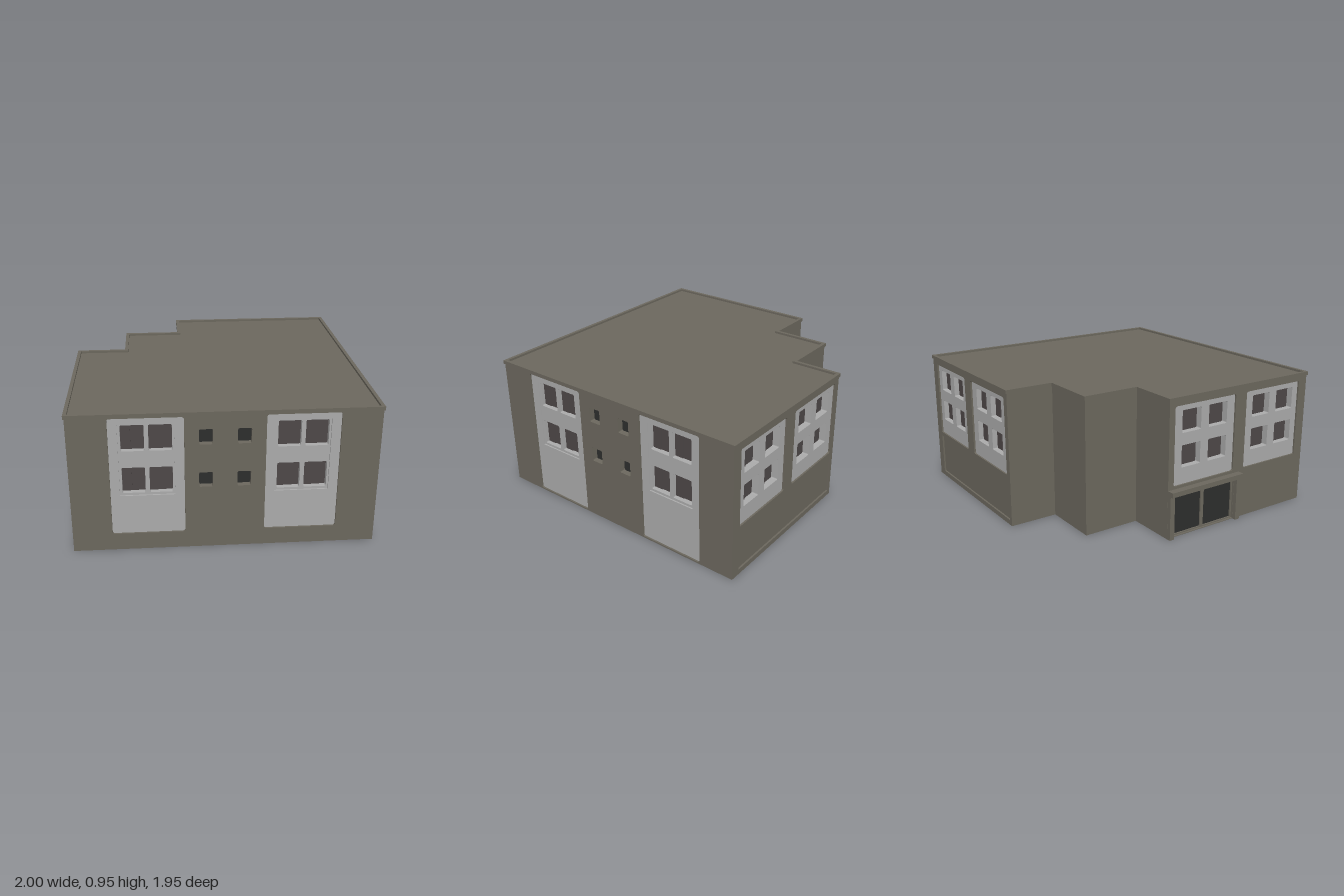
import * as THREE from 'three';

const mat = (name, color, side = THREE.FrontSide) => {
  const m = new THREE.MeshStandardMaterial({ color, side });
  m.name = name;
  return m;
};

// Footprint limits (stepped back-right corner) and facade thickness
const XL = -0.952, XR = 0.993, ZF = 0.969, ZB = -0.969;
const S1 = -0.21, S2 = -0.634, S3 = -0.61, S4 = -0.235;
const T = 0.07, H = 0.932;

const polygon = (pts, Type = THREE.Shape) => new Type(pts.map(([x, z]) => new THREE.Vector2(x, -z)));

// Footprint pushed outward by o
const footprint = (o, Type) => polygon([
  [XL - o, ZF + o], [XR + o, ZF + o], [XR + o, ZB - o], [S1 - o, ZB - o],
  [S1 - o, S2 - o], [S3 - o, S2 - o], [S3 - o, S4 - o], [XL - o, S4 - o],
], Type);

// Rectangle [x0, y0, x1, y1] with optional rounded corners
function rect([x0, y0, x1, y1], r = 0, Type = THREE.Shape) {
  const s = new Type();
  if (!r) {
    s.moveTo(x0, y0); s.lineTo(x1, y0); s.lineTo(x1, y1); s.lineTo(x0, y1); s.closePath();
    return s;
  }
  s.absarc(x1 - r, y0 + r, r, -Math.PI / 2, 0);
  s.absarc(x1 - r, y1 - r, r, 0, Math.PI / 2);
  s.absarc(x0 + r, y1 - r, r, Math.PI / 2, Math.PI);
  s.absarc(x0 + r, y0 + r, r, Math.PI, Math.PI * 1.5);
  s.closePath();
  return s;
}

export function createModel() {
  const model = new THREE.Group();
  model.name = 'building';
  const wall = mat('wall', 0x6b675d);
  const panelMat = mat('panel', 0xaaaaaa);
  const glass = mat('glass', 0x4d4747);
  const dark = mat('darkGlass', 0x2d2e2d);

  const add = (parent, name, geo, material) => {
    const m = new THREE.Mesh(geo, material);
    m.name = name;
    parent.add(m);
    return m;
  };

  // Upright layer occupying depths front..back behind the facade plane
  const layer = (parent, name, shape, holes, front, back, material) => {
    shape.holes.push(...holes);
    const geo = new THREE.ExtrudeGeometry(shape, { depth: back - front, bevelEnabled: false, curveSegments: 4 });
    return add(parent, name, geo.translate(0, 0, -back), material);
  };

  const flat = (name, shape, y0, y1) => {
    const geo = new THREE.ExtrudeGeometry(shape, { depth: y1 - y0, bevelEnabled: false });
    add(model, name, geo.rotateX(-Math.PI / 2).translate(0, y0, 0), wall);
  };

  // Core with the plain stepped walls, and the roof edge
  flat('core', polygon([
    [XL + T, ZF - T], [XR - T, ZF - T], [XR - T, ZB + T], [S1, ZB + T],
    [S1, S2], [S3, S2], [S3, S4], [XL + T, S4],
  ]), 0, H);
  const edge = footprint(0.007);
  edge.holes.push(footprint(-0.016, THREE.Path));
  flat('parapet', edge, 0.922, 0.947);

  // Window: sliding sash in front of a second pane
  const sashes = (parent, [x0, y0, x1, y1]) => {
    const split = x0 + (x1 - x0) * 0.42;
    layer(parent, 'rearPane', rect([x0, y0, x1, y1]), [], 0.058, 0.066, glass);
    layer(parent, 'slidingSash', rect([x0, y0 + 0.004, split, y1 - 0.004]), [], 0.048, 0.058, glass);
  };

  // Recessed panel with a 2 x 2 window set; p holds cols, rows and optional frame
  const windowPanel = (parent, p) => {
    const g = new THREE.Group();
    g.name = 'windowPanel';
    parent.add(g);
    const wins = p.rows.flatMap(([y0, y1]) => p.cols.map(([a, b]) => [p.box[0] + a, y0, p.box[0] + b, y1]));
    const openings = () => wins.map(w => rect(w, 0.008, THREE.Path));
    if (p.frame) {
      const f = [p.box[0] + p.frame[0], p.frame[1], p.box[0] + p.frame[2], p.frame[3]];
      layer(g, 'panel', rect(p.box, 0.015), [rect(f, 0, THREE.Path)], 0.012, T, panelMat);
      layer(g, 'windowSurround', rect(f), openings(), 0.022, T, panelMat);
    } else {
      layer(g, 'panel', rect(p.box, 0.015), openings(), 0.012, T, panelMat);
    }
    wins.forEach(w => sashes(g, w));
  };

  // Facade: wall slab with openings, filled with panels and small windows
  const facade = (name, pos, angle, u0, u1, panels, small = [], extra = []) => {
    const g = new THREE.Group();
    g.name = name;
    g.position.set(...pos);
    g.rotation.y = angle;
    model.add(g);
    const holes = [
      ...panels.map(p => rect(p.box, 0.015, THREE.Path)),
      ...small.map(s => rect(s, 0.008, THREE.Path)),
      ...extra.map(e => rect(e, 0, THREE.Path)),
    ];
    layer(g, 'wallSlab', rect([u0, 0, u1, H]), holes, 0, T, wall);
    panels.forEach(p => windowPanel(g, p));
    small.forEach(s => layer(g, 'smallWindow', rect(s, 0.008), [], 0.04, T, dark));
    return g;
  };

  // Tall panels with framed windows (front and left) and square panels (back and right)
  const tall = (u, w, y0) => ({
    box: [u, y0, u + w, 0.915], frame: [0.058, 0.382, 0.405, 0.872],
    cols: [[0.075, 0.22], [0.247, 0.392]], rows: [[0.687, 0.862], [0.398, 0.574]],
  });
  const square = u => ({
    box: [u, 0.355, u + 0.505, 0.888],
    cols: [[0.068, 0.222], [0.287, 0.441]], rows: [[0.7, 0.85], [0.468, 0.618]],
  });
  const smalls = (us) => us.flatMap(u => [[u, 0.728, u + 0.086, 0.83], [u, 0.435, u + 0.086, 0.536]]);

  facade('frontFacade', [0, 0, ZF], 0, XL, XR,
    [tall(-0.7, 0.465, 0.115), tall(0.272, 0.465, 0.115)], smalls([-0.145, 0.095]));
  facade('leftFacade', [XR, 0, 0], Math.PI / 2, -ZF, -ZB,
    [tall(-0.72, 0.465, 0.01), tall(0.253, 0.465, 0.01)], smalls([-0.168, 0.078]));

  // Back facade with a sunken band below the windows
  const band = [-0.97, 0.035, 0.185, 0.325];
  const back = facade('backFacade', [0, 0, ZB], Math.PI, -XR, -S1, [square(-0.94), square(-0.338)], [], [band]);
  layer(back, 'lowerBand', rect(band), [], 0.012, T, wall);

  // Right facade with the entrance
  const door = [-0.198, 0.004, 0.332, 0.3];
  const right = facade('rightFacade', [XL, 0, 0], -Math.PI / 2, S4, ZF, [square(-0.19), square(0.41)], [], [door]);
  const leaves = [[-0.188, 0.012, 0.055, 0.285], [0.079, 0.012, 0.322, 0.285]];
  layer(right, 'doorFrame', rect(door), leaves.map(l => rect(l, 0, THREE.Path)), 0.015, T, wall);
  leaves.forEach(l => layer(right, 'doorLeaf', rect(l), [], 0.025, T, dark));
  for (const u of [-0.216, 0.351]) {
    add(right, 'entrancePillar', new THREE.BoxGeometry(0.036, 0.304, 0.03).translate(u, 0.152, 0.013), wall);
  }
  add(right, 'canopy', new THREE.BoxGeometry(0.604, 0.033, 0.06).translate(0.068, 0.32, 0.018), wall);

  return model;
}
